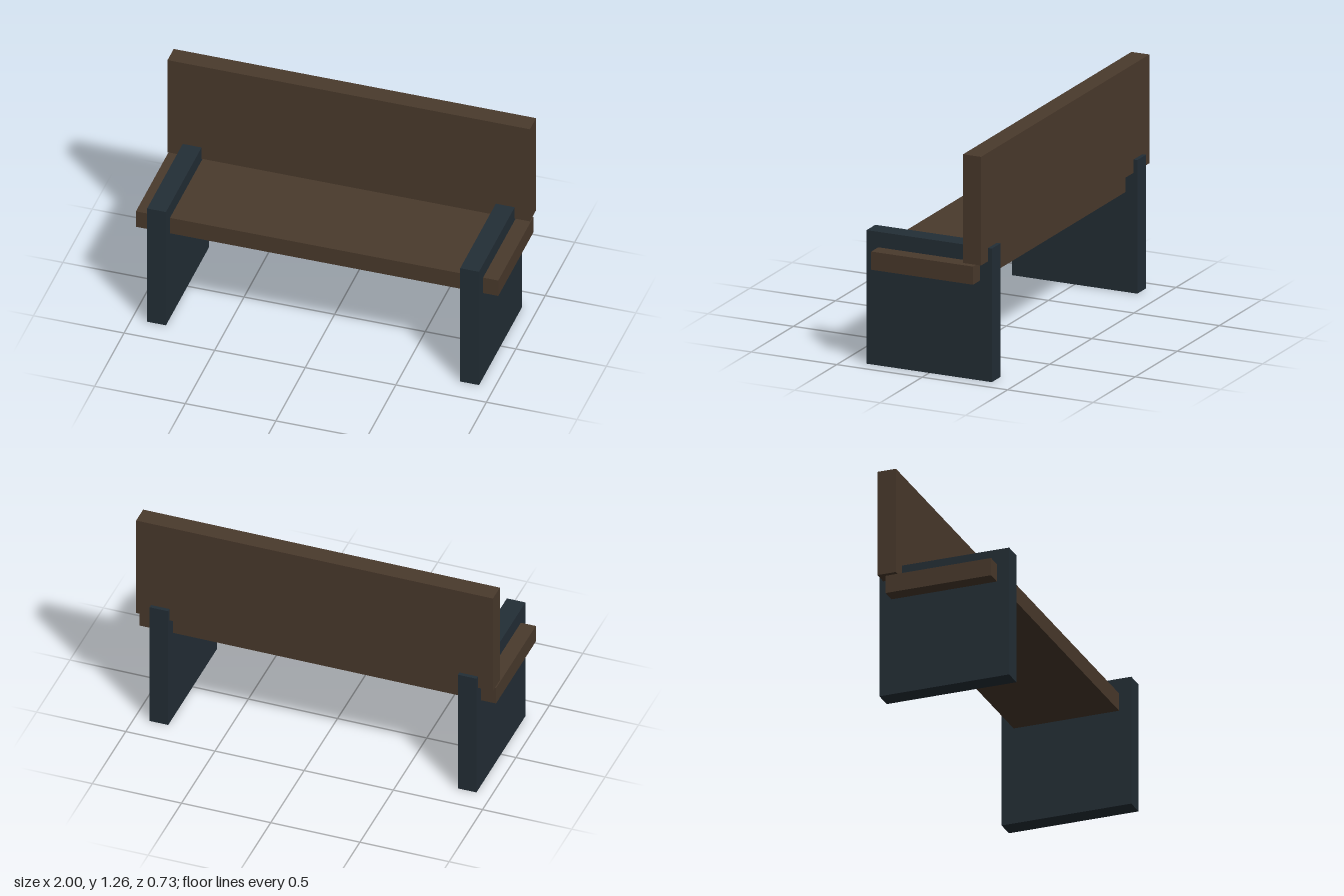
import * as THREE from 'three';

export function createModel() {
  const bench = new THREE.Group();
  bench.name = 'bench';
  const wood = new THREE.MeshStandardMaterial({ color: 0x4a3a2c });
  wood.name = 'dark wood';
  const slate = new THREE.MeshStandardMaterial({ color: 0x232e36 });
  slate.name = 'slate';

  // Adds a box given its size, centre x, bottom y and centre z
  const addBox = (name, material, [w, h, d], [x, bottom, z]) => {
    const mesh = new THREE.Mesh(new THREE.BoxGeometry(w, h, d), material);
    mesh.name = name;
    mesh.position.set(x, bottom + h / 2, z);
    bench.add(mesh);
  };

  // Seat plank passes through both side panels
  addBox('seat', wood, [2, 0.1, 0.596], [0, 0.55, 0]);

  // Backrest floats just above the seat, held in the panels
  addBox('backrest', wood, [2, 0.598, 0.105], [0, 0.662, -0.292]);

  // Side panels serve as legs and low armrests
  for (const [side, name] of [[1, 'leftSidePanel'], [-1, 'rightSidePanel']]) {
    addBox(name, slate, [0.104, 0.735, 0.733], [side * 0.864, 0, 0]);
  }
  return bench;
}
